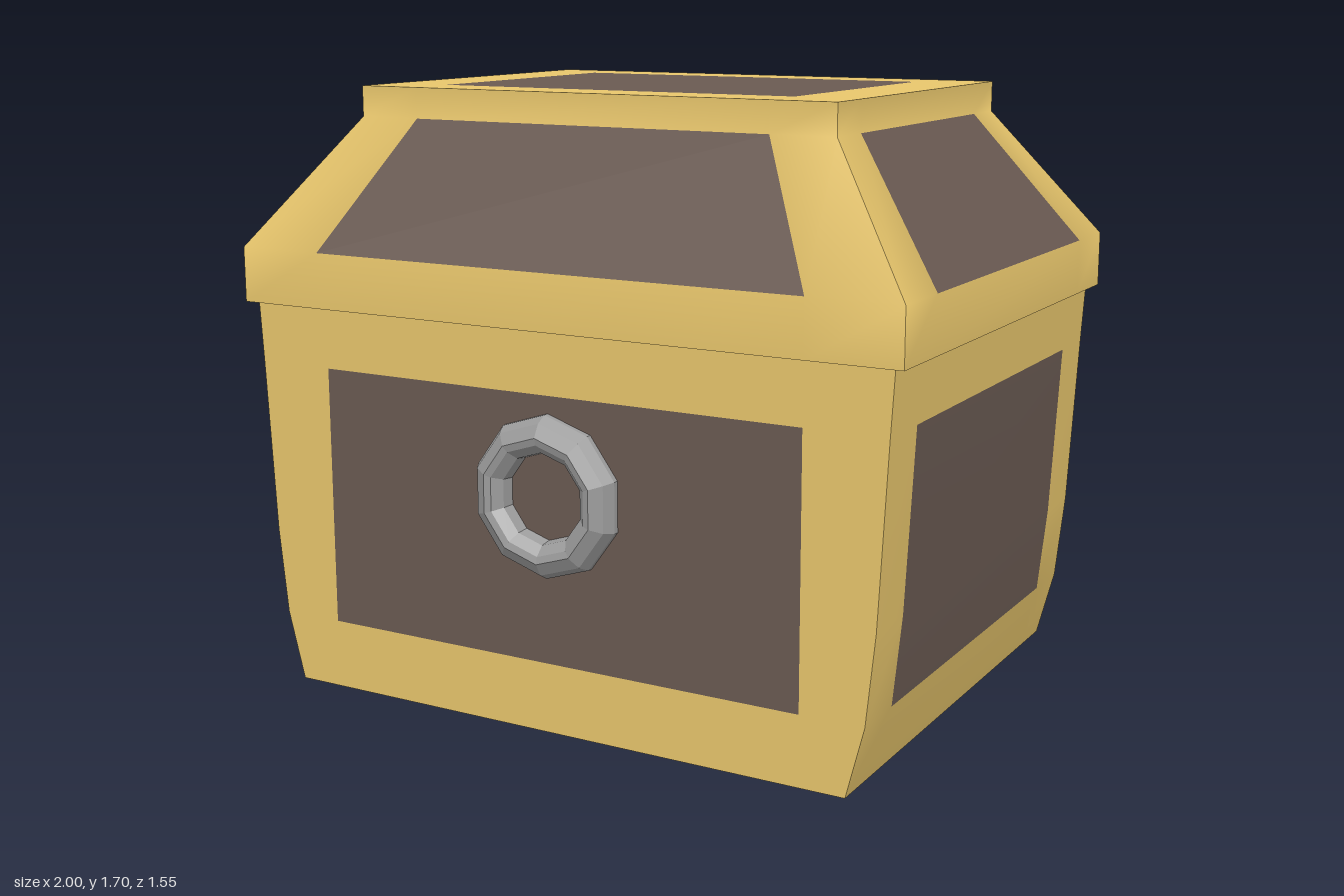
import * as THREE from 'three';
import { mergeGeometries } from 'three/addons/utils/BufferGeometryUtils.js';

const gold = new THREE.MeshStandardMaterial({ color: 0xe8c66c });
const wood = new THREE.MeshStandardMaterial({ color: 0x6a5a52 });
const metal = new THREE.MeshStandardMaterial({ color: 0x9c9c9c, flatShading: true });

// Indexed grid of quads; only cells accepted by keep(row, col) are built
function grid(rows, keep) {
  const n = rows[0].length, index = [];
  for (let r = 0; r < rows.length - 1; r++) {
    for (let c = 0; c < n - 1; c++) {
      if (!keep(r, c)) continue;
      const a = r * n + c;
      index.push(a, a + 1, a + n + 1, a, a + n + 1, a + n);
    }
  }
  const geo = new THREE.BufferGeometry();
  geo.setAttribute('position', new THREE.Float32BufferAttribute(rows.flat(2), 3));
  geo.setIndex(index);
  geo.computeVertexNormals();
  return geo.toNonIndexed();
}

// Four-sided shell with framed panels.
// levels: [y, halfX, halfZ, panelHalfX, panelHalfZ]; panelRows: bands that hold a panel
function framedShell(name, levels, panelRows, topPanel, bottomPanel) {
  const group = new THREE.Group();
  group.name = name;
  const faces = [];
  for (let side = 0; side < 4; side++) {
    const rows = levels.map(([y, hx, hz, px, pz]) => {
      const [w, p, d] = side % 2 ? [hz, pz, hx] : [hx, px, hz];
      return [-w, -p, p, w].map(u => [[u, y, d], [d, y, -u], [-u, y, -d], [-d, y, u]][side]);
    });
    faces.push([rows, (r, c) => c === 1 && panelRows.includes(r)]);
  }
  // Caps, facing up or down
  const cap = ([y, hx, hz, px, pz], dir, panel) => {
    const rows = [hz, pz, -pz, -hz].map(z => [-hx, -px, px, hx].map(x => [x, y, z * dir]));
    faces.push([rows, (r, c) => panel && r === 1 && c === 1]);
  };
  cap(levels[levels.length - 1], 1, topPanel);
  cap(levels[0], -1, bottomPanel);

  const build = (wanted) => mergeGeometries(
    faces.map(([rows, isPanel]) => grid(rows, (r, c) => isPanel(r, c) === wanted)));
  const frame = new THREE.Mesh(build(false), gold);
  frame.name = name + 'Frame';
  const panels = new THREE.Mesh(build(true), wood);
  panels.name = name + 'Panels';
  group.add(frame, panels);
  group.position.z = -0.005;
  return group;
}

function hingeBar(name, y, height, z, depth) {
  const bar = new THREE.Mesh(new THREE.BoxGeometry(1.47, height, depth), metal);
  bar.name = name;
  bar.position.set(0, y, z);
  return bar;
}

export function createModel() {
  const chest = new THREE.Group();
  chest.name = 'chest';

  // Body with bowed ends
  chest.add(framedShell('body', [
    [0, 0.86, 0.715, 0.73, 0.55],
    [0.195, 0.91, 0.715, 0.73, 0.55],
    [0.44, 0.935, 0.715, 0.73, 0.55],
    [0.93, 0.96, 0.715, 0.73, 0.55],
    [1.1, 0.97, 0.715, 0.73, 0.55],
  ], [1, 2], false, true));

  // Sloping lid with raised top
  chest.add(framedShell('lid', [
    [1.1, 1, 0.735, 0.74, 0.54],
    [1.255, 1, 0.735, 0.74, 0.54],
    [1.615, 0.725, 0.53, 0.54, 0.39],
    [1.7, 0.725, 0.53, 0.54, 0.39],
  ], [1], true, false));

  // Faceted ring on the front
  const profile = [[0.2225, 0], [0.222, 0.015], [0.205, 0.045], [0.17, 0.065],
    [0.15, 0.06], [0.125, 0.035], [0.12, 0]].map(p => new THREE.Vector2(...p));
  const ring = new THREE.Mesh(new THREE.LatheGeometry(profile, 10), metal);
  ring.name = 'lockRing';
  ring.rotation.x = Math.PI / 2;
  ring.position.set(-0.005, 0.66, 0.71);
  chest.add(ring);

  // Two hinge bars on the back
  chest.add(hingeBar('upperHinge', 1.145, 0.09, -0.75, 0.045));
  chest.add(hingeBar('lowerHinge', 1.05, 0.1, -0.73, 0.03));
  return chest;
}
